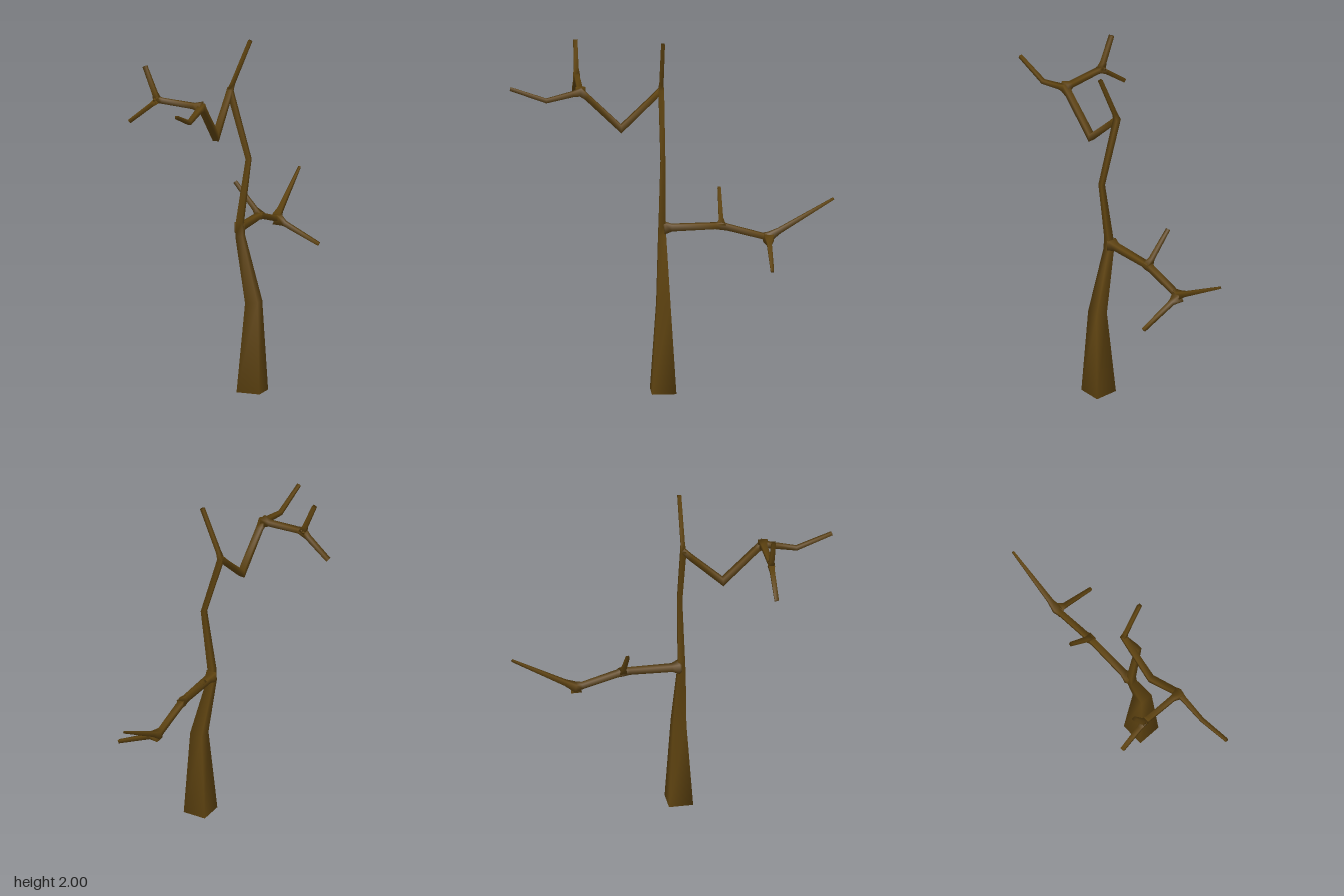
import * as THREE from 'three';

const bark = new THREE.MeshStandardMaterial({ color: 0x614511 });
bark.name = 'bark brown';

// Square-section limb along points [x, y, z, halfWidth]; side is the normal of the plane it bends in.
function limb(name, side, points) {
  const N = new THREE.Vector3(...side);
  const P = points.map(p => new THREE.Vector3(p[0], p[1], p[2]));
  const dir = i => P[i + 1].clone().sub(P[i]).normalize();
  const last = P.length - 1;
  const pos = [], index = [];
  P.forEach((p, i) => {
    const before = dir(Math.max(i - 1, 0)), after = dir(Math.min(i, last - 1));
    const T = before.clone().add(after).normalize();
    const V = T.clone().cross(N).normalize();
    const mitre = Math.min(1.25, 1 / T.dot(after));
    const r = points[i][3];
    for (const [a, b] of [[1, -1], [1, 1], [-1, 1], [-1, -1]]) {
      const c = p.clone().addScaledVector(N, a * r).addScaledVector(V, b * r * mitre);
      pos.push(c.x, c.y, c.z);
    }
    if (i === last) return;
    for (let j = 0; j < 4; j++) {
      const a = i * 4 + j, b = i * 4 + (j + 1) % 4;
      index.push(a, b, b + 4, a, b + 4, a + 4);
    }
  });
  // End caps share the ring corners so the shading stays soft
  const e = last * 4;
  index.push(0, 3, 2, 0, 2, 1, e, e + 1, e + 2, e, e + 2, e + 3);
  const g = new THREE.BufferGeometry();
  g.setAttribute('position', new THREE.Float32BufferAttribute(pos, 3));
  g.setIndex(index);
  g.computeVertexNormals();
  const mesh = new THREE.Mesh(g, bark);
  mesh.name = name;
  return mesh;
}

export function createModel() {
  const tree = new THREE.Group();
  tree.name = 'bareTree';
  const X = [1, 0, 0], Z = [0, 0, 1];

  // Trunk
  tree.add(limb('trunk', Z, [
    [0.192, 0.002, 0.06, 0.068], [0.2, 0.51, 0.06, 0.037], [0.12, 0.88, 0.06, 0.021],
    [0.119, 0.96, 0.06, 0.018], [0.17, 1.32, 0.06, 0.013], [0.06, 1.7, 0.06, 0.015],
    [0.075, 1.74, 0.06, 0.011], [0.18, 1.994, 0.06, 0.01],
  ]));

  // Rear branch, flared where it leaves the trunk and where twigs leave it
  tree.add(limb('rearBranch', X, [
    [0.112, 0.92, 0.06, 0.022], [0.112, 0.92, 0.045, 0.03], [0.11, 0.92, 0.005, 0.018],
    [0.11, 0.925, -0.235, 0.016], [0.11, 0.925, -0.27, 0.02], [0.11, 0.915, -0.305, 0.016],
    [0.11, 0.86, -0.5, 0.015], [0.11, 0.855, -0.54, 0.022], [0.11, 0.889, -0.595, 0.014],
    [0.11, 1.067, -0.897, 0.006],
  ]));
  tree.add(limb('rearUpperTwig', Z, [
    [0.115, 0.92, -0.27, 0.024], [0.083, 0.96, -0.27, 0.012], [-0.035, 1.105, -0.27, 0.009],
  ]));
  tree.add(limb('rearLowerTwig', Z, [
    [0.11, 0.85, -0.535, 0.03], [0.16, 0.826, -0.535, 0.013], [0.362, 0.725, -0.535, 0.009],
  ]));

  // Front branch, dipping then rising
  tree.add(limb('frontBranch', X, [
    [0.06, 1.71, 0.055, 0.014], [0.06, 1.66, 0.1, 0.015], [0.06, 1.482, 0.283, 0.018],
    [0.06, 1.67, 0.475, 0.016], [0.06, 1.7, 0.51, 0.02], [0.06, 1.688, 0.55, 0.014],
    [0.06, 1.652, 0.7, 0.011], [0.06, 1.725, 0.9, 0.009],
  ]));
  tree.add(limb('frontSideBranch', Z, [
    [0.06, 1.7, 0.51, 0.028], [0.015, 1.704, 0.51, 0.015], [-0.17, 1.719, 0.51, 0.014],
    [-0.205, 1.722, 0.51, 0.018],
  ]));

  // Fork at the end of the side branch
  for (const [name, x, y] of [['forkUpperTwig', -0.275, 1.908], ['forkLowerTwig', -0.365, 1.587]]) {
    const at = t => [-0.2 + (x + 0.2) * t, 1.72 + (y - 1.72) * t, 0.51];
    tree.add(limb(name, Z, [[...at(0), 0.019], [...at(0.2), 0.013], [...at(1), 0.011]]));
  }
  return tree;
}
